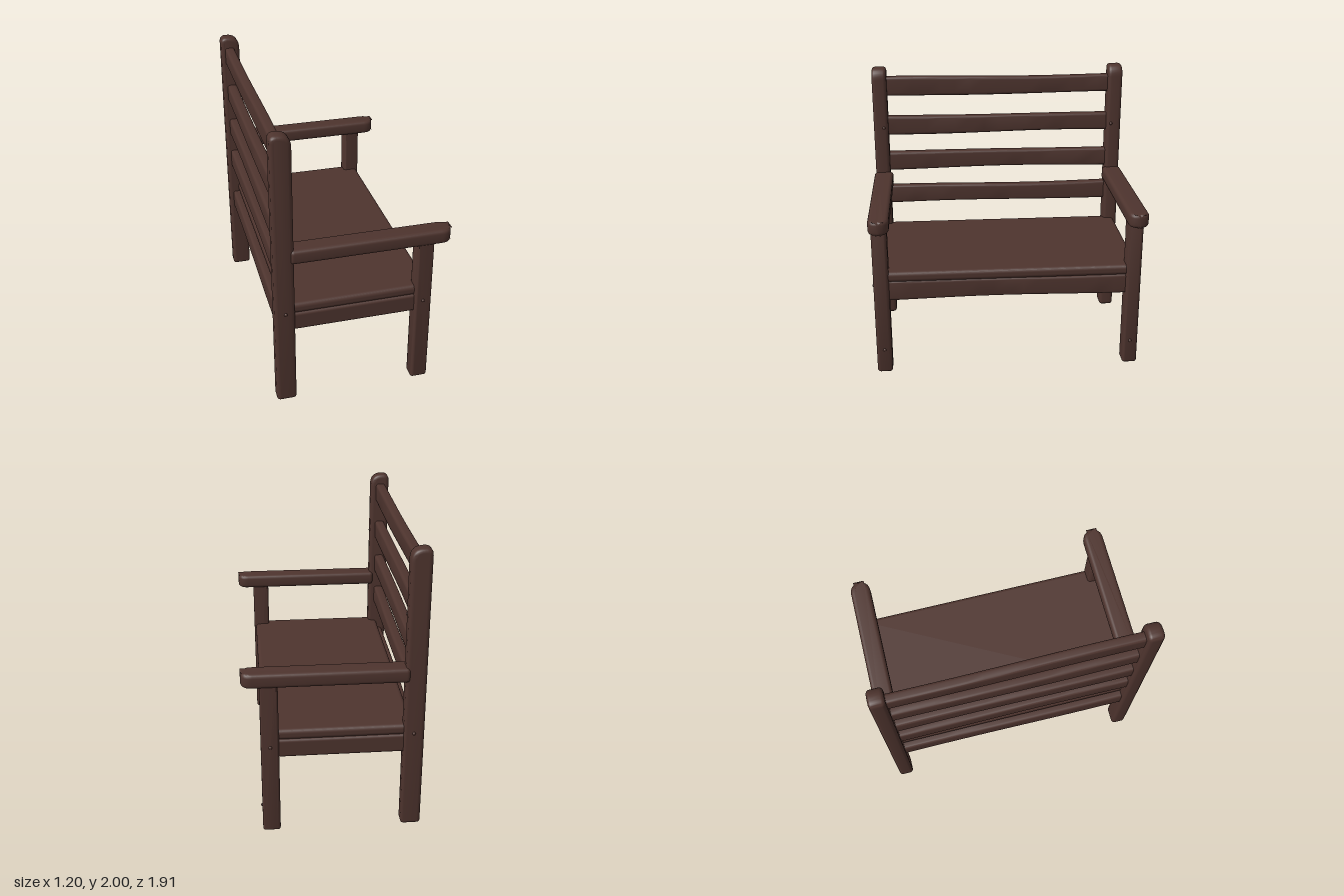
import * as THREE from 'three';
import { toCreasedNormals } from 'three/addons/utils/BufferGeometryUtils.js';
import { RoundedBoxGeometry } from 'three/addons/geometries/RoundedBoxGeometry.js';

const darkWood = new THREE.MeshStandardMaterial({ color: 0x4e342e });
darkWood.name = 'darkWood';

// Rectangle with its own radius per corner: bottom left, bottom right, top right, top left
function roundedRect(x0, y0, x1, y1, [bl, br, tr, tl]) {
  const s = new THREE.Shape();
  s.moveTo(x0 + bl, y0);
  s.lineTo(x1 - br, y0);
  s.quadraticCurveTo(x1, y0, x1, y0 + br);
  s.lineTo(x1, y1 - tr);
  s.quadraticCurveTo(x1, y1, x1 - tr, y1);
  s.lineTo(x0 + tl, y1);
  s.quadraticCurveTo(x0, y1, x0, y1 - tl);
  s.lineTo(x0, y0 + bl);
  s.quadraticCurveTo(x0, y0, x0 + bl, y0);
  return s;
}

// Timber cut from an outline, with rounded arrises, centred on its thickness
function timber(shape, thickness, bevel) {
  const g = new THREE.ExtrudeGeometry(shape, {
    depth: thickness - 2 * bevel, bevelThickness: bevel, bevelSize: bevel,
    bevelOffset: -bevel, bevelSegments: 4, curveSegments: 8,
  });
  return g.translate(0, 0, bevel - thickness / 2);
}

// Long rail along z with a slightly uneven, hand-cut run
function rail(x0, x1, y0, y1, halfLength, wobble, phase) {
  const r = 0.022;
  const g = new THREE.ExtrudeGeometry(roundedRect(x0, y0, x1, y1, [r, r, r, r]), {
    depth: 2 * halfLength, steps: 16, bevelEnabled: false, curveSegments: 5,
  }).translate(0, 0, -halfLength);
  const p = g.attributes.position;
  const mid = (y0 + y1) / 2;
  for (let i = 0; i < p.count; i++) {
    const t = p.getZ(i) / halfLength;
    const swell = 1 - 0.06 * Math.cos(t * 2.4 + phase * 0.3);
    p.setY(i, mid + (p.getY(i) - mid) * swell + wobble * Math.sin(t * 3 + phase));
    p.setX(i, p.getX(i) + wobble * 0.6 * Math.cos(t * 2.5 + phase));
  }
  return g;
}

function createModel() {
  const bench = new THREE.Group();
  bench.name = 'bench';
  const add = (name, geometry, x = 0, y = 0, z = 0) => {
    const mesh = new THREE.Mesh(geometry, darkWood);
    mesh.name = name;
    mesh.position.set(x, y, z);
    bench.add(mesh);
    return mesh;
  };
  const smooth = (g) => toCreasedNormals(g, 0.6);

  // Posts, legs and arms, mirrored in z
  const postGeo = smooth(timber(roundedRect(-0.602, 0, -0.465, 2, [0.025, 0.025, 0.085, 0.045]), 0.108, 0.025));
  const legGeo = smooth(timber(roundedRect(0.362, 0, 0.482, 1.13, [0.02, 0.02, 0.01, 0.01]), 0.108, 0.022));
  const armGeo = smooth(timber(roundedRect(-0.49, -0.071, 0.6, 0.071, [0.025, 0.075, 0.075, 0.025]), 0.1, 0.025)
    .rotateX(-Math.PI / 2));
  const pegGeo = new THREE.SphereGeometry(0.012, 10, 8);

  for (const side of [1, -1]) {
    const label = side > 0 ? 'left' : 'right';
    add(label + 'BackPost', postGeo, 0, 0, side * 0.89);
    add(label + 'FrontLeg', legGeo, 0, 0, side * 0.888);
    add(label + 'Armrest', armGeo, 0, 1.15, side * 0.884);
    add(label + 'SideApron', new RoundedBoxGeometry(0.92, 0.132, 0.075, 4, 0.02), -0.06, 0.636, side * 0.885);

    // Pegs at the joints
    const pegs = [
      [-0.53, 0.72, 0.942], [0.42, 0.66, 0.94],
      [-0.467, 1.55, 0.868], [0.48, 0.18, 0.885],
    ];
    pegs.forEach(([x, y, z]) => add(label + 'Peg', pegGeo, x, y, side * z));
  }

  // Seat and the aprons that carry it
  add('seat', new RoundedBoxGeometry(1.0, 0.076, 1.84, 5, 0.03), -0.03, 0.735, 0);
  add('frontApron', smooth(rail(0.378, 0.462, 0.56, 0.703, 0.86, 0.004, 1)));
  add('backApron', smooth(rail(-0.575, -0.495, 0.56, 0.703, 0.86, 0.004, 2)));

  // Back slats
  [1.002, 1.277, 1.557, 1.855].forEach((y, i) => {
    add('backSlat', smooth(rail(-0.573, -0.503, y - 0.068, y + 0.068, 0.87, 0.004, i * 1.7)));
  });

  return bench;
}

export { createModel };
